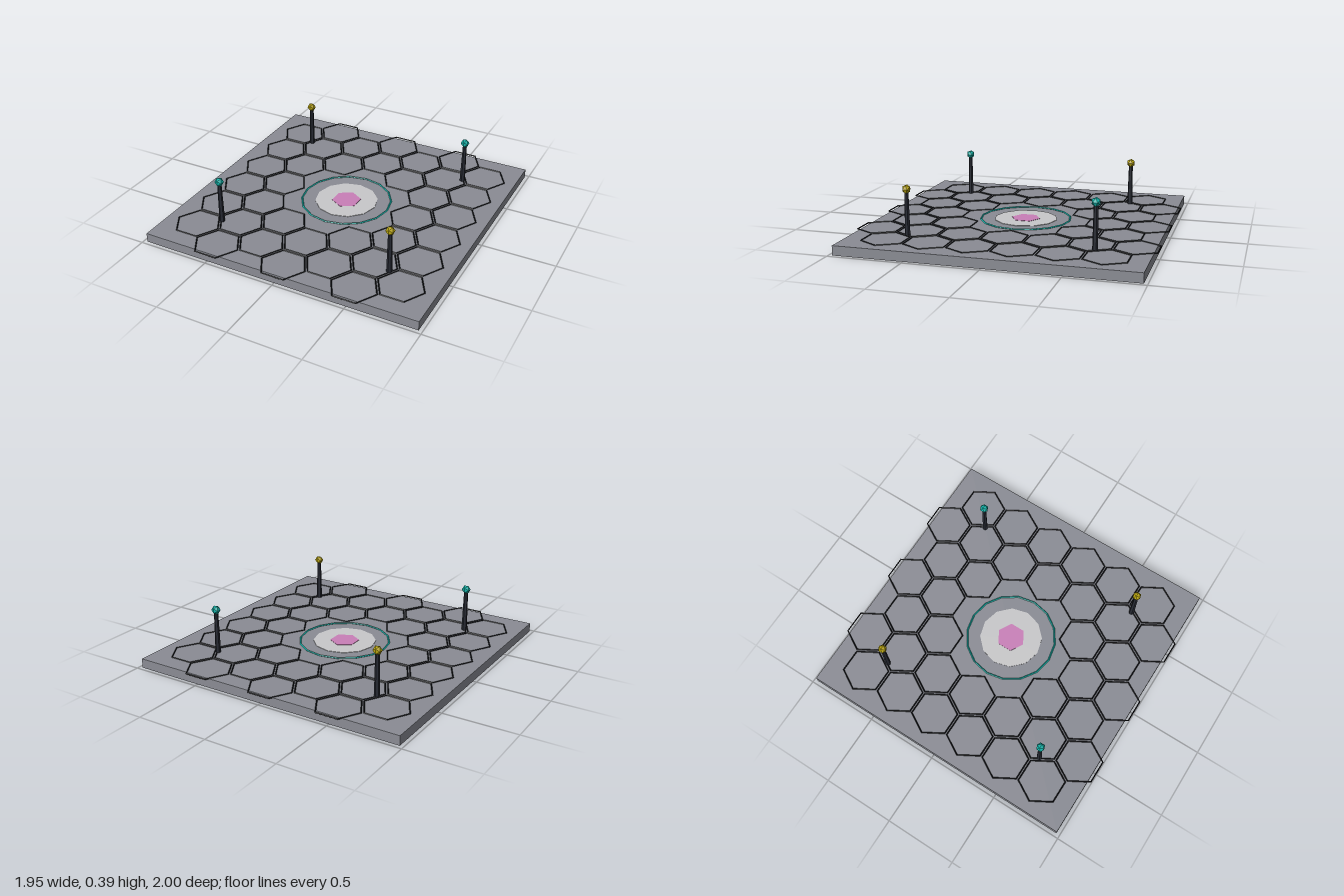
import * as THREE from 'three';

const mat = (name, color) => {
  const m = new THREE.MeshStandardMaterial({ color, flatShading: true });
  m.name = name;
  return m;
};

export function createModel() {
  const model = new THREE.Group();
  model.name = 'hexTilePlatform';
  const slate = mat('slateGrey', 0x8a8c94);
  const black = mat('black', 0x15161a);
  const charcoal = mat('charcoal', 0x262932);
  const teal = mat('teal', 0x12b5ab);
  const gold = mat('gold', 0xb8a40c);
  const pale = mat('paleGrey', 0xc8c8ca);
  const pink = mat('pink', 0xc97fb8);

  const add = (name, geometry, material, x, y, z, parent = model) => {
    const mesh = new THREE.Mesh(geometry, material);
    mesh.name = name;
    mesh.position.set(x, y, z);
    parent.add(mesh);
    return mesh;
  };

  // Slab
  const top = 0.064;
  add('slab', new THREE.BoxGeometry(1.95, top, 1.95), slate, 0, top / 2, 0);

  // Honeycomb of hexagonal outlines, left open around the centre
  const honeycomb = new THREE.Group();
  honeycomb.name = 'honeycomb';
  model.add(honeycomb);
  const hex = new THREE.TorusGeometry(0.156, 0.005, 4, 6).rotateX(-Math.PI / 2);
  const pitch = 0.2865;
  for (let col = -3; col <= 3; col++) {
    const odd = Math.abs(col) % 2;
    const rows = odd ? 6 : 7;
    for (let row = 0; row < rows; row++) {
      const x = col * pitch * Math.sqrt(3) / 2;
      const z = (row - (rows - 1) / 2) * pitch;
      if (Math.hypot(x, z) < 0.4) continue;
      add('hexOutline', hex, black, x, top, z, honeycomb);
    }
  }

  // Central ring, disc and hexagonal emblem plate
  const ring = new THREE.TorusGeometry(0.31, 0.006, 4, 16).rotateX(-Math.PI / 2);
  add('centreRing', ring, teal, 0, top + 0.003, 0);
  add('centreDisc', new THREE.CylinderGeometry(0.217, 0.217, 0.004, 12), pale, 0, top + 0.001, 0);
  add('centreHexagon', new THREE.CylinderGeometry(0.1, 0.1, 0.004, 6), pink, 0, top + 0.003, 0);

  // Corner posts with faceted lamps, coloured alternately
  const post = new THREE.CylinderGeometry(0.014, 0.019, 0.29, 6);
  const lamp = new THREE.IcosahedronGeometry(0.031, 0);
  for (const sx of [-1, 1]) {
    for (const sz of [-1, 1]) {
      const corner = new THREE.Group();
      corner.name = 'cornerPost';
      corner.position.set(sx * 0.618, top, sz * 0.618);
      model.add(corner);
      add('post', post, charcoal, 0, 0.145, 0, corner);
      add('lamp', lamp, sx === sz ? gold : teal, 0, 0.304, 0, corner);
    }
  }
  return model;
}
